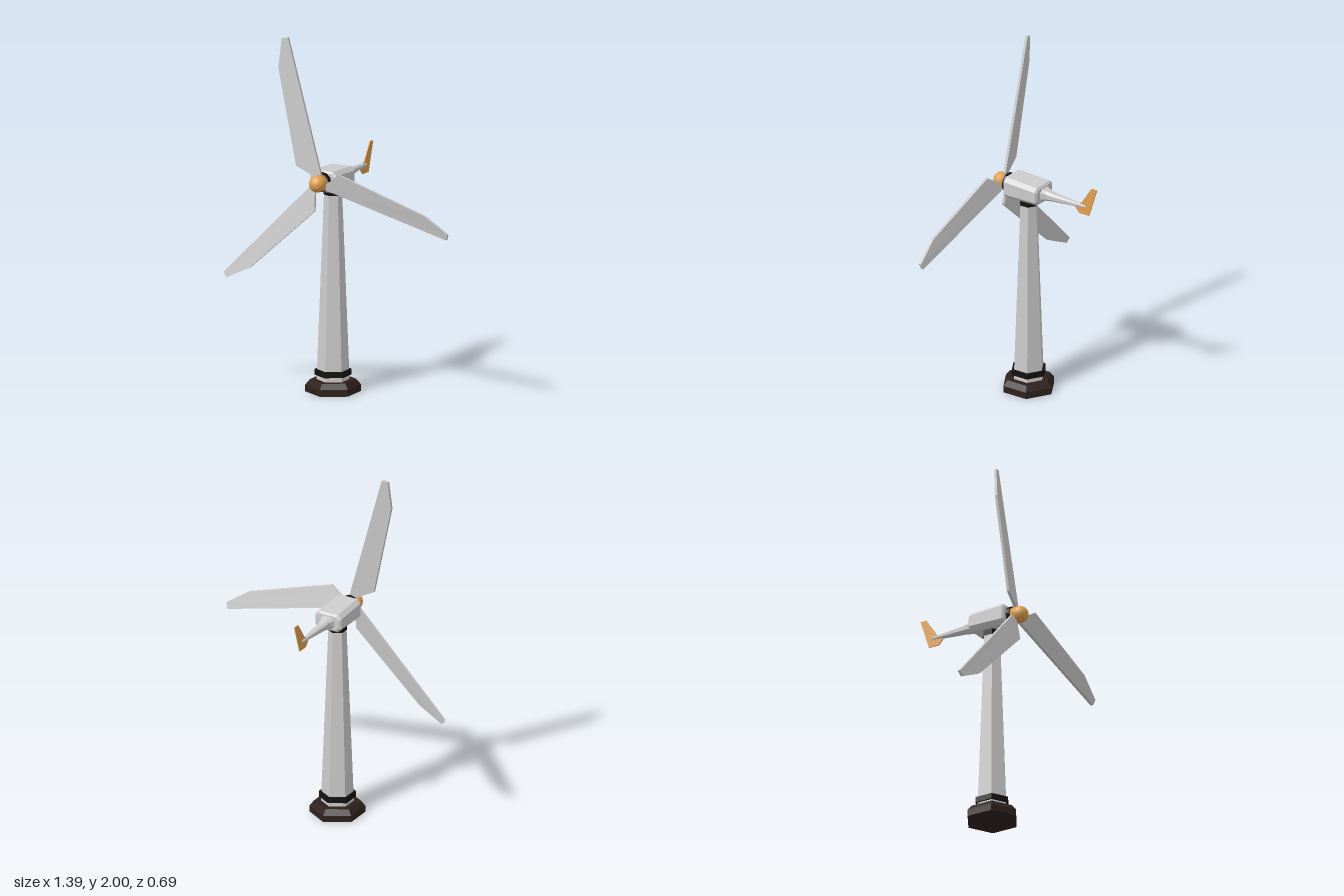
import * as THREE from 'three';

const material = (color, extra = {}) => new THREE.MeshStandardMaterial({ color, ...extra });
const grey = material(0xcccccc, { flatShading: true });
const black = material(0x141210, { flatShading: true });
const brown = material(0x2e211c, { flatShading: true });
const orange = material(0xe0a050);
const AXIS_X = -0.102, TOWER_Z = 0.115, HUB_Y = 1.203;

function part(parent, name, geometry, mat, x = 0, y = 0, z = 0) {
  const mesh = new THREE.Mesh(geometry, mat);
  mesh.name = name;
  mesh.position.set(x, y, z);
  parent.add(mesh);
  return mesh;
}

// Skin a row of closed rings (counter-clockwise seen from +z, running front to back) and cap both ends.
function loft(rings) {
  const n = rings[0].length, pos = [];
  const tri = (...pts) => pts.forEach((p) => pos.push(...p));
  for (let r = 0; r < rings.length - 1; r++) {
    const a = rings[r], b = rings[r + 1];
    for (let i = 0; i < n; i++) {
      const j = (i + 1) % n;
      tri(a[i], b[i], b[j]);
      tri(a[i], b[j], a[j]);
    }
  }
  const front = rings[0], back = rings[rings.length - 1];
  for (let i = 1; i < n - 1; i++) {
    tri(front[0], front[i], front[i + 1]);
    tri(back[0], back[i + 1], back[i]);
  }
  const geometry = new THREE.BufferGeometry();
  geometry.setAttribute('position', new THREE.Float32BufferAttribute(pos, 3));
  geometry.computeVertexNormals();
  return geometry;
}

// Rectangle with cut corners: half width w, bottom y0, top y1, corner cut c
const cutRect = (z, w, y0, y1, c) => [
  [w, y0 + c, z], [w, y1 - c, z], [w - c, y1, z], [-w + c, y1, z],
  [-w, y1 - c, z], [-w, y0 + c, z], [-w + c, y0, z], [w - c, y0, z],
];

export function createModel() {
  const model = new THREE.Group();
  model.name = 'windTurbine';

  // Six-sided tower, its foot and its collars: [name, top radius, bottom radius, y0, y1, material]
  const tower = new THREE.Group();
  tower.name = 'towerAssembly';
  tower.position.set(AXIS_X, 0, TOWER_Z);
  model.add(tower);
  for (const [name, top, bottom, y0, y1, mat] of [
    ['foot', 0.152, 0.152, 0, 0.038, brown],
    ['footChamfer', 0.127, 0.152, 0.038, 0.068, brown],
    ['tower', 0.05, 0.09, 0.068, 1.11, grey],
    ['lowerCollar', 0.102, 0.102, 0.094, 0.125, black],
    ['upperCollar', 0.053, 0.053, 1.108, 1.138, black],
    ['neck', 0.044, 0.044, 1.138, 1.16, black],
  ]) {
    part(tower, name, new THREE.CylinderGeometry(top, bottom, y1 - y0, 6), mat, 0, (y0 + y1) / 2);
  }

  // Nacelle with softened ends, slightly lower towards the back
  part(model, 'nacelle', loft([
    cutRect(0.234, 0.07, 1.154, 1.25, 0.018),
    cutRect(0.225, 0.082, 1.143, 1.262, 0.022),
    cutRect(0.018, 0.082, 1.146, 1.251, 0.022),
    cutRect(0.008, 0.07, 1.157, 1.239, 0.018),
  ]), grey, AXIS_X);

  // Tail boom tapering to the fin
  part(model, 'tailBoom', loft([
    cutRect(0.012, 0.045, 1.164, 1.234, 0.016),
    cutRect(-0.015, 0.031, 1.168, 1.226, 0.014),
    cutRect(-0.06, 0.025, 1.174, 1.216, 0.01),
    cutRect(-0.258, 0.008, 1.186, 1.203, 0.004),
    cutRect(-0.268, 0.005, 1.19, 1.2, 0.002),
  ]), grey, AXIS_X);

  // Thin tail fin, outlined in (z, y)
  const finOutline = [[-0.19, 1.188], [-0.225, 1.146], [-0.29, 1.146], [-0.343, 1.312], [-0.306, 1.312], [-0.24, 1.212]];
  const fin = new THREE.ExtrudeGeometry(
    new THREE.Shape(finOutline.map(([z, y]) => new THREE.Vector2(z, y))), { depth: 0.006, bevelEnabled: false });
  fin.translate(0, 0, -0.003).rotateY(-Math.PI / 2);
  part(model, 'tailFin', fin, orange, AXIS_X);

  // Rotor: shaft collar, round-nosed spinner and three blades
  const rotor = new THREE.Group();
  rotor.name = 'rotor';
  rotor.position.set(AXIS_X, HUB_Y, 0);
  model.add(rotor);
  part(rotor, 'shaftCollar', new THREE.CylinderGeometry(0.054, 0.054, 0.024, 12).rotateX(Math.PI / 2), black, 0, 0, 0.245);
  const spinner = [new THREE.Vector2(0, 0.255), new THREE.Vector2(0.047, 0.255)];
  for (let i = 0; i <= 10; i++) {
    const a = (i / 10) * Math.PI / 2;
    spinner.push(new THREE.Vector2(0.047 * Math.cos(a), 0.295 + 0.047 * Math.sin(a)));
  }
  part(rotor, 'spinner', new THREE.LatheGeometry(spinner, 24).rotateX(Math.PI / 2), orange);

  // Pitched blade: front-face corners, the back face lies a plate thickness behind
  const bladeFront = [
    [0, 0.025, 0.282], [0.01, 0.053, 0.278], [-0.194, 0.796, 0.277],
    [-0.228, 0.79, 0.284], [-0.241, 0.626, 0.298], [-0.127, 0.09, 0.305],
  ];
  const blade = loft([bladeFront, bladeFront.map(([x, y, z]) => [x, y, z - 0.016])]);
  for (let i = 0; i < 3; i++) {
    part(rotor, 'blade' + (i + 1), blade, grey).rotation.z = (i * Math.PI * 2) / 3;
  }
  return model;
}
